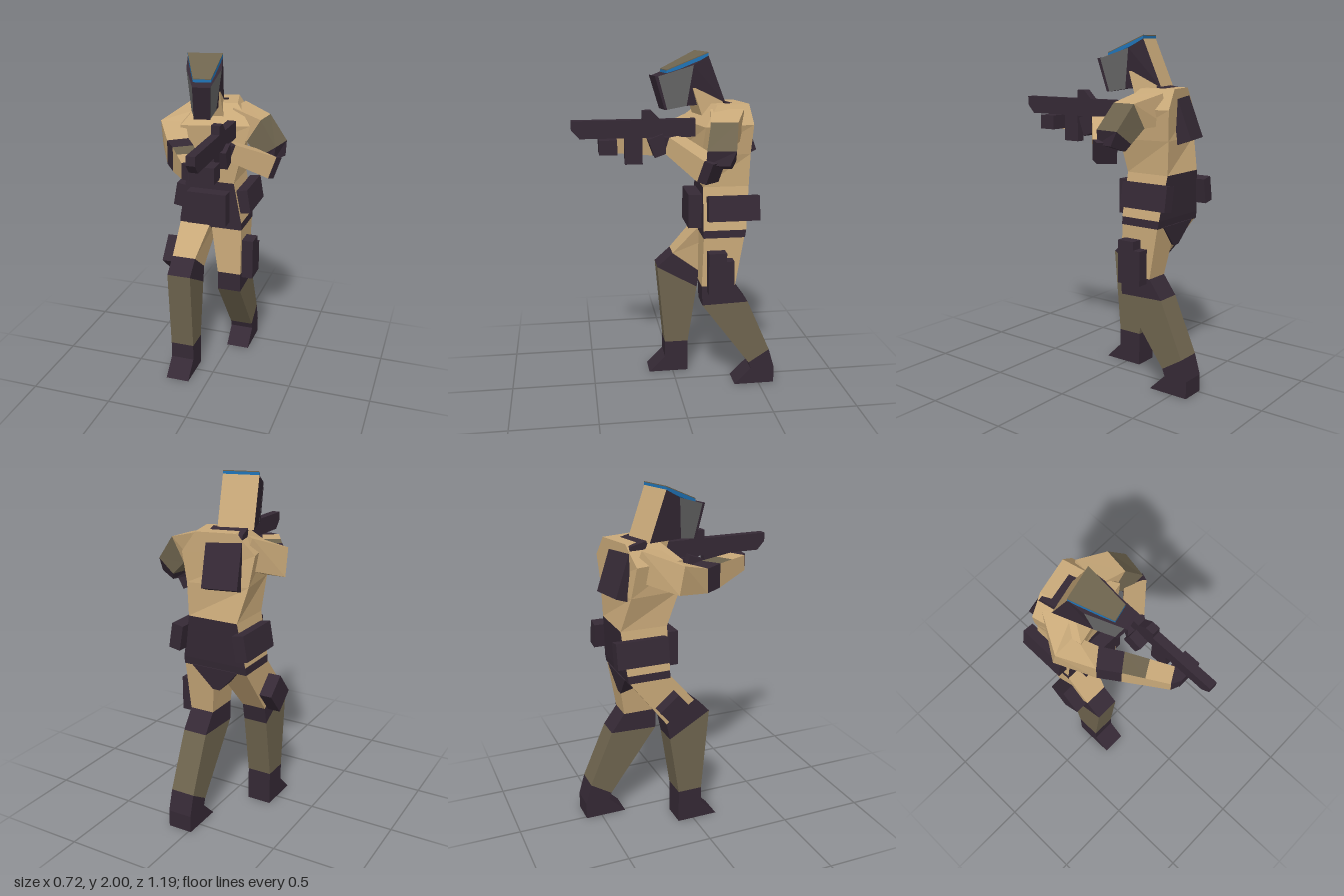
import * as THREE from 'three';

const mat = (name, color) => {
  const m = new THREE.MeshStandardMaterial({ color, flatShading: true });
  m.name = name;
  return m;
};
const dark = mat('dark gear', 0x352935);
const tan = mat('tan cloth', 0xc9a979);
const khaki = mat('khaki cloth', 0x6e644e);
const grey = mat('grey cheek', 0x686868);
const blue = mat('blue visor', 0x1f74b8);

const V = (x, y, z) => new THREE.Vector3(x, y, z);

// Skin four-cornered rings; each segment has one material, or one for each of its four sides
function loft(name, rings, segments, caps = []) {
  const tris = [], mats = [];
  const quad = (a, b, c, d, m) => { tris.push([a, b, c], [a, c, d]); mats.push(m, m); };
  for (let i = 0; i < rings.length - 1; i++) {
    for (let s = 0; s < 4; s++) {
      const t = (s + 1) % 4, seg = segments[i];
      quad(rings[i][s], rings[i][t], rings[i + 1][t], rings[i + 1][s], Array.isArray(seg) ? seg[s] : seg);
    }
  }
  const first = rings[0], last = rings[rings.length - 1];
  const plain = (m) => (Array.isArray(m) ? m[0] : m);
  quad(first[3], first[2], first[1], first[0], caps[0] || plain(segments[0]));
  quad(last[0], last[1], last[2], last[3], caps[1] || plain(segments[segments.length - 1]));
  // Turn the faces outward
  const volume = tris.reduce((sum, [a, b, c]) => sum + a.dot(b.clone().cross(c)), 0);
  if (volume < 0) tris.forEach((t) => t.reverse());
  const geo = new THREE.BufferGeometry().setFromPoints(tris.flat());
  const used = [...new Set(mats)];
  mats.forEach((m, i) => geo.addGroup(i * 3, 3, used.indexOf(m)));
  geo.computeVertexNormals();
  const mesh = new THREE.Mesh(geo, used);
  mesh.name = name;
  return mesh;
}

// Ring spanning x0..x1 with a front edge and a back edge
const span = (x0, x1, zf, yf, zb, yb) => [V(x0, yf, zf), V(x1, yf, zf), V(x1, yb, zb), V(x0, yb, zb)];

// Level ring turned about y
function level(cx, y, cz, hw, hd, yaw) {
  return [[-1, 1], [1, 1], [1, -1], [-1, -1]].map(([a, b]) =>
    V(a * hw, 0, b * hd).applyAxisAngle(V(0, 1, 0), yaw).add(V(cx, y, cz)));
}

// Ring square to a limb direction
function across(c, d, w, h) {
  const dir = V(...d).normalize();
  const side = dir.clone().cross(V(0, 1, 0)).normalize();
  const up = side.clone().cross(dir);
  return [[-1, 1], [1, 1], [1, -1], [-1, -1]].map(([a, b]) =>
    V(...c).addScaledVector(side, a * w / 2).addScaledVector(up, b * h / 2));
}

// Box from its limits
function box(name, x0, x1, y0, y1, z0, z1, m = dark) {
  const mesh = new THREE.Mesh(new THREE.BoxGeometry(x1 - x0, y1 - y0, z1 - z0), m);
  mesh.position.set((x0 + x1) / 2, (y0 + y1) / 2, (z0 + z1) / 2);
  mesh.name = name;
  return mesh;
}

// Side profile of [z, y] points, extruded from x0 to x1
function prism(name, pts, x0, x1, m = dark) {
  const shape = new THREE.Shape(pts.map((p) => new THREE.Vector2(...p)));
  const geo = new THREE.ExtrudeGeometry(shape, { depth: x1 - x0, bevelEnabled: false });
  geo.rotateY(-Math.PI / 2).translate(x1, 0, 0);
  const mesh = new THREE.Mesh(geo, m);
  mesh.name = name;
  return mesh;
}

function makeHead() {
  const head = new THREE.Group();
  head.name = 'head';
  head.position.set(-0.1, 0, -0.165);
  head.rotation.y = 0.25;
  const section = (wt, yt, zt, wb, yb, zb) => [V(wt, yt, zt), V(-wt, yt, zt), V(-wb, yb, zb), V(wb, yb, zb)];
  head.add(loft('helmet', [
    section(0.1, 1.98, 0, 0.1, 1.71, -0.11),
    section(0.1, 1.93, 0.09, 0.07, 1.7, 0.12),
    section(0.05, 1.87, 0.285, 0.045, 1.68, 0.23),
    section(0.048, 1.872, 0.305, 0.046, 1.68, 0.245),
  ], [dark, [dark, grey, dark, grey], dark], [tan, dark]));
  // Brow slab: blue edge with a khaki top plate
  const slab = (drop) => span(-1, 1, 0.235, 1.9 - drop, 0, 1.995 - drop)
    .map((p) => p.setX(p.x * (p.z > 0.1 ? 0.05 : 0.1)));
  head.add(loft('visorBand', [slab(0.022), slab(0)], [blue]));
  head.add(loft('helmetTop', [slab(0), slab(-0.005)], [khaki]));
  return head;
}

function makeArms() {
  const arms = new THREE.Group();
  arms.name = 'arms';
  // Right arm reaches to the fore grip
  arms.add(loft('rightArm', [
    across([-0.16, 1.6, -0.27], [-0.5, -0.3, 0.6], 0.17, 0.17),
    across([-0.28, 1.525, -0.12], [0.05, -0.2, 1], 0.15, 0.16),
    across([-0.195, 1.475, 0.045], [0.6, 0, 0.75], 0.127, 0.14),
    across([-0.12, 1.475, 0.16], [0.6, 0, 0.8], 0.12, 0.14),
    across([-0.055, 1.485, 0.277], [0.5, 0.05, 0.85], 0.11, 0.115),
    across([0.01, 1.495, 0.395], [0.5, 0.05, 0.85], 0.1, 0.09),
    across([0.05, 1.495, 0.41], [0.8, 0, 0.6], 0.09, 0.08),
  ], [tan, tan, dark, [khaki, tan, tan, tan], tan, dark]));
  arms.add(box('rightHand', 0.01, 0.155, 1.455, 1.537, 0.345, 0.445));
  // Left arm bends at the elbow to the trigger
  arms.add(loft('leftUpperArm', [
    across([0.05, 1.6, -0.29], [0.9, -0.2, 0.1], 0.19, 0.18),
    across([0.2, 1.57, -0.245], [0.8, -0.5, 0.1], 0.15, 0.16),
    across([0.295, 1.46, -0.215], [0.55, -0.8, 0.1], 0.16, 0.13),
    across([0.3, 1.4, -0.2], [0.3, -0.9, 0.1], 0.13, 0.1),
  ], [tan, khaki, dark]));
  const toHand = [-0.22, 0.12, 0.19];
  arms.add(loft('leftForearm', [
    across([0.31, 1.37, -0.18], toHand, 0.11, 0.13),
    across([0.285, 1.385, -0.14], toHand, 0.125, 0.13),
    across([0.1, 1.5, 0.025], toHand, 0.11, 0.1),
    across([0.05, 1.5, 0.1], toHand, 0.1, 0.09),
  ], [dark, tan, dark]));
  const hand = box('leftHand', 0, 0.13, 1.44, 1.55, 0.065, 0.155);
  hand.rotation.x = 0.35;
  arms.add(hand);
  return arms;
}

export function createModel() {
  const model = new THREE.Group();
  model.name = 'soldier';

  // Legs with boots, shins, knee bands and thighs
  const legColours = [dark, dark, khaki, dark, tan];
  const right = (...p) => span(-0.26, -0.115, ...p);
  const left = (...p) => span(-0.015, 0.13, ...p);
  model.add(loft('rightLeg', [
    right(0.15, 0, -0.095, 0), right(0.05, 0.1, -0.095, 0.1), right(0.05, 0.2, -0.095, 0.2),
    right(0.095, 0.7, -0.15, 0.56), right(0, 0.785, -0.17, 0.66),
    span(-0.26, -0.07, -0.15, 0.96, -0.39, 0.95),
  ], legColours));
  model.add(loft('leftLeg', [
    left(-0.35, 0, -0.595, 0), left(-0.45, 0.1, -0.595, 0.1), left(-0.435, 0.14, -0.56, 0.22),
    left(-0.145, 0.53, -0.42, 0.54), left(-0.14, 0.65, -0.34, 0.65),
    span(-0.06, 0.13, -0.15, 0.96, -0.39, 0.95),
  ], legColours));

  // Hips with a belt, and a seat panel between the legs
  model.add(loft('hips', [
    span(-0.262, 0.132, -0.148, 0.945, -0.393, 0.945),
    span(-0.26, 0.13, -0.148, 0.99, -0.4, 0.99),
    span(-0.22, 0.08, -0.15, 1.24, -0.42, 1.24),
  ], [dark, [dark, tan, dark, tan]]));
  model.add(loft('seatPanel', [
    span(-0.09, -0.045, -0.31, 0.84, -0.385, 0.82),
    span(-0.21, 0.08, -0.16, 0.95, -0.4, 0.95),
  ], [dark]));

  // Torso turned towards the weapon, and neck
  model.add(loft('torso', [
    level(-0.07, 1.24, -0.285, 0.15, 0.135, 0),
    level(-0.065, 1.43, -0.25, 0.175, 0.15, 0.16),
    level(-0.055, 1.6, -0.245, 0.2, 0.15, 0.24),
    level(-0.055, 1.71, -0.3, 0.11, 0.1, 0.24),
  ], [tan, tan, tan]));
  model.add(loft('neck', [
    level(-0.08, 1.62, -0.23, 0.075, 0.09, 0.24),
    level(-0.08, 1.8, -0.16, 0.07, 0.08, 0.24),
  ], [tan]));

  // Backpack
  const pack = new THREE.Group();
  pack.name = 'backpack';
  pack.position.set(-0.12, 0, -0.38);
  pack.rotation.y = 0.22;
  pack.add(prism('packBody', [[0.12, 1.72], [0.01, 1.7], [-0.09, 1.43], [-0.01, 1.4]], -0.098, 0.098));
  model.add(pack);

  // Belt pouches
  model.add(box('frontPouch', -0.19, 0.055, 0.99, 1.19, -0.155, -0.07));
  for (const s of [-1, 1]) {
    const x = -0.065 + s * 0.2;
    const pouch = box(s > 0 ? 'leftPouch' : 'rightPouch', x - 0.035, x + 0.035, 1.05, 1.195, -0.47, -0.17);
    pouch.rotation.z = s * 0.17;
    model.add(pouch);
  }

  // Thigh gear
  model.add(prism('leftHolster', [[-0.17, 0.62], [-0.17, 0.87], [-0.275, 0.87], [-0.275, 0.82],
    [-0.32, 0.82], [-0.32, 0.62]], 0.128, 0.2));
  const thighPouch = box('rightThighPouch', -0.335, -0.255, 0.67, 0.84, -0.2, -0.055);
  thighPouch.rotation.x = -0.7;
  model.add(thighPouch);

  // Rifle with sight and magazine
  model.add(prism('rifle', [[-0.1, 1.64], [0.1, 1.64], [0.15, 1.69], [0.2, 1.69], [0.2, 1.64],
    [0.595, 1.64], [0.595, 1.59], [0.55, 1.54], [0.3, 1.54], [0.3, 1.39], [0.2, 1.39],
    [0.2, 1.54], [-0.1, 1.54]], 0.055, 0.105));

  model.add(makeArms(), makeHead());
  return model;
}
